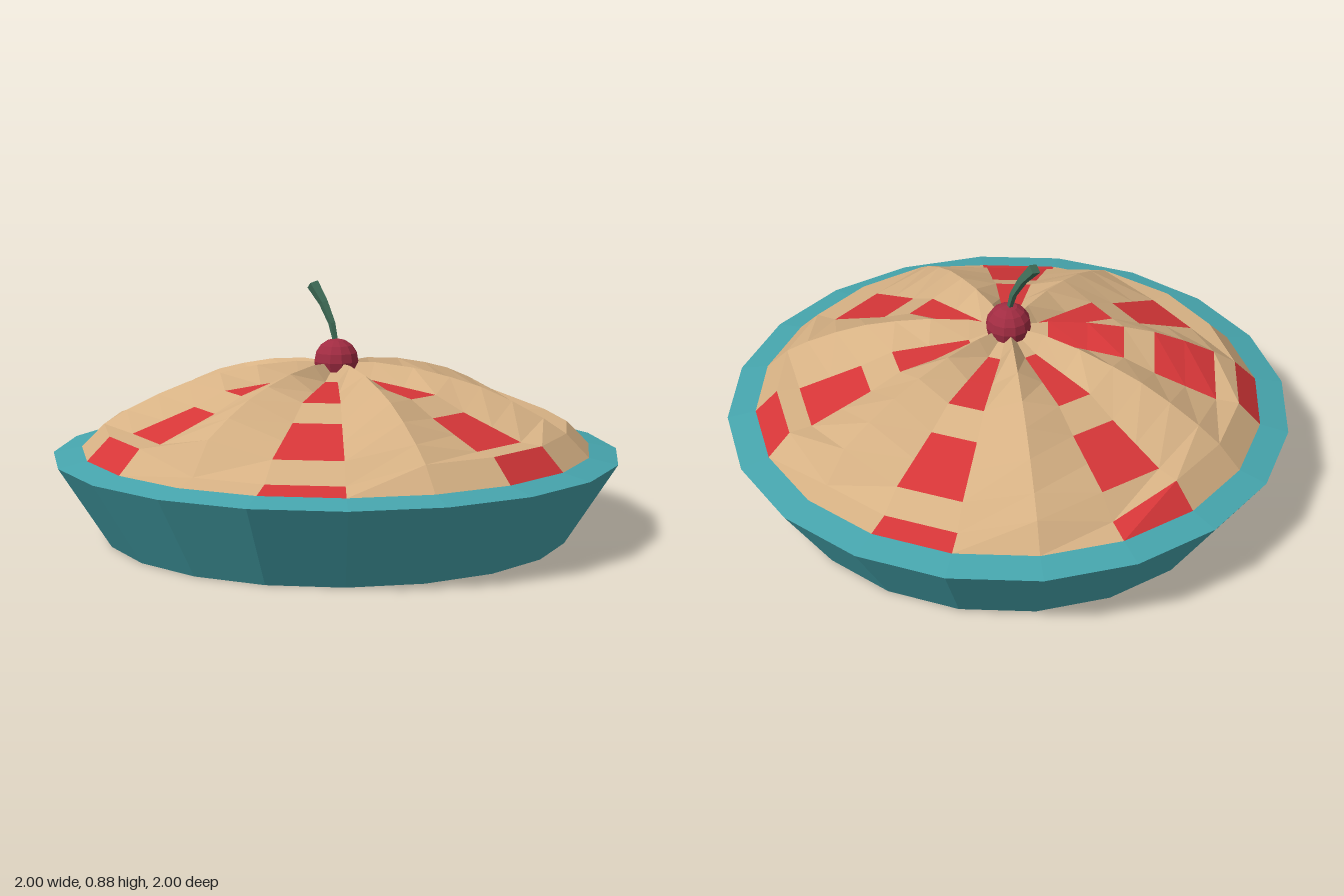
import * as THREE from 'three';

const SIDES = 20;

function makeMesh(name, geometry, color, side = THREE.FrontSide) {
  const material = new THREE.MeshStandardMaterial({ color, flatShading: true, side });
  const mesh = new THREE.Mesh(geometry, material);
  mesh.name = name;
  return mesh;
}

// Crust rings from rim to middle: radius, valley height, ridge height, filling shows
const RINGS = [
  [0.9, 0.305, 0.305, true],
  [0.82, 0.385, 0.385, false],
  [0.74, 0.39, 0.435, true],
  [0.63, 0.43, 0.49, true],
  [0.52, 0.47, 0.535, false],
  [0.41, 0.52, 0.565, true],
  [0.28, 0.535, 0.592, true],
  [0.14, 0.55, 0.606, false],
  [0, 0.6, 0.6, false],
];
// Columns where the crust edge sags
const SAGGING = [3, 4, 5, 7, 14, 15, 16];

function crustPoint(ring, column) {
  const k = column % SIDES;
  const [r, valley, ridge] = RINGS[ring];
  // every third column, counted from the -x side, is a raised pleat
  const isRidge = ((k + 10) % SIDES) % 3 === 1;
  let y = isRidge ? ridge : valley;
  if (ring === 1 && SAGGING.includes(k)) y = 0.325;
  const a = (k / SIDES) * Math.PI * 2;
  return [r * Math.cos(a), y, -r * Math.sin(a)];
}

// Collect crust faces, split into pastry and slots of red filling
function crustGeometry(filling) {
  const positions = [];
  for (let k = 0; k < SIDES; k++) {
    const j = (k + 10) % SIDES;
    const slotColumn = j === 0 || j % 3 === 2;
    for (let i = 0; i < RINGS.length - 1; i++) {
      if ((slotColumn && RINGS[i][3]) !== filling) continue;
      const a = crustPoint(i, k), b = crustPoint(i, k + 1);
      const c = crustPoint(i + 1, k + 1), d = crustPoint(i + 1, k);
      positions.push(...a, ...b, ...c);
      if (i < RINGS.length - 2) positions.push(...a, ...c, ...d);
    }
  }
  const geometry = new THREE.BufferGeometry();
  geometry.setAttribute('position', new THREE.Float32BufferAttribute(positions, 3));
  geometry.computeVertexNormals();
  return geometry;
}

// Curved four-sided stem, widening to a closed tip
function stemGeometry() {
  const curve = new THREE.CatmullRomCurve3([
    new THREE.Vector3(0, 0.66, 0),
    new THREE.Vector3(-0.03, 0.765, -0.015),
    new THREE.Vector3(-0.1, 0.87, -0.045),
  ]);
  const widths = [0.009, 0.013, 0.017, 0.023, 0];
  const geometry = new THREE.TubeGeometry(curve, 4, 1, 4);
  const p = geometry.attributes.position;
  const v = new THREE.Vector3();
  for (let n = 0; n < p.count; n++) {
    const ring = Math.floor(n / 5);
    v.fromBufferAttribute(p, n).sub(curve.getPointAt(ring / 4)).multiplyScalar(widths[ring]);
    v.add(curve.getPointAt(Math.min(ring, 3) / 3));
    p.setXYZ(n, v.x, v.y, v.z);
  }
  geometry.computeVertexNormals();
  return geometry;
}

export function createModel() {
  const pie = new THREE.Group();
  pie.name = 'pie';

  // Flared dish with a narrow sloping rim
  const profile = [[0, 0], [0.82, 0], [1, 0.285], [0.9, 0.305]].map(([x, y]) => new THREE.Vector2(x, y));
  pie.add(makeMesh('dish', new THREE.LatheGeometry(profile, SIDES), 0x46a5ad));

  // Pleated crust with filling showing through
  pie.add(makeMesh('crust', crustGeometry(false), 0xd6b184, THREE.DoubleSide));
  pie.add(makeMesh('filling', crustGeometry(true), 0xd63638, THREE.DoubleSide));

  // Cherry and stem on top
  const cherry = makeMesh('cherry', new THREE.SphereGeometry(0.08, 12, 8), 0xa12c42);
  cherry.position.y = 0.605;
  pie.add(cherry);
  pie.add(makeMesh('cherryStem', stemGeometry(), 0x41705a, THREE.DoubleSide));

  return pie;
}
